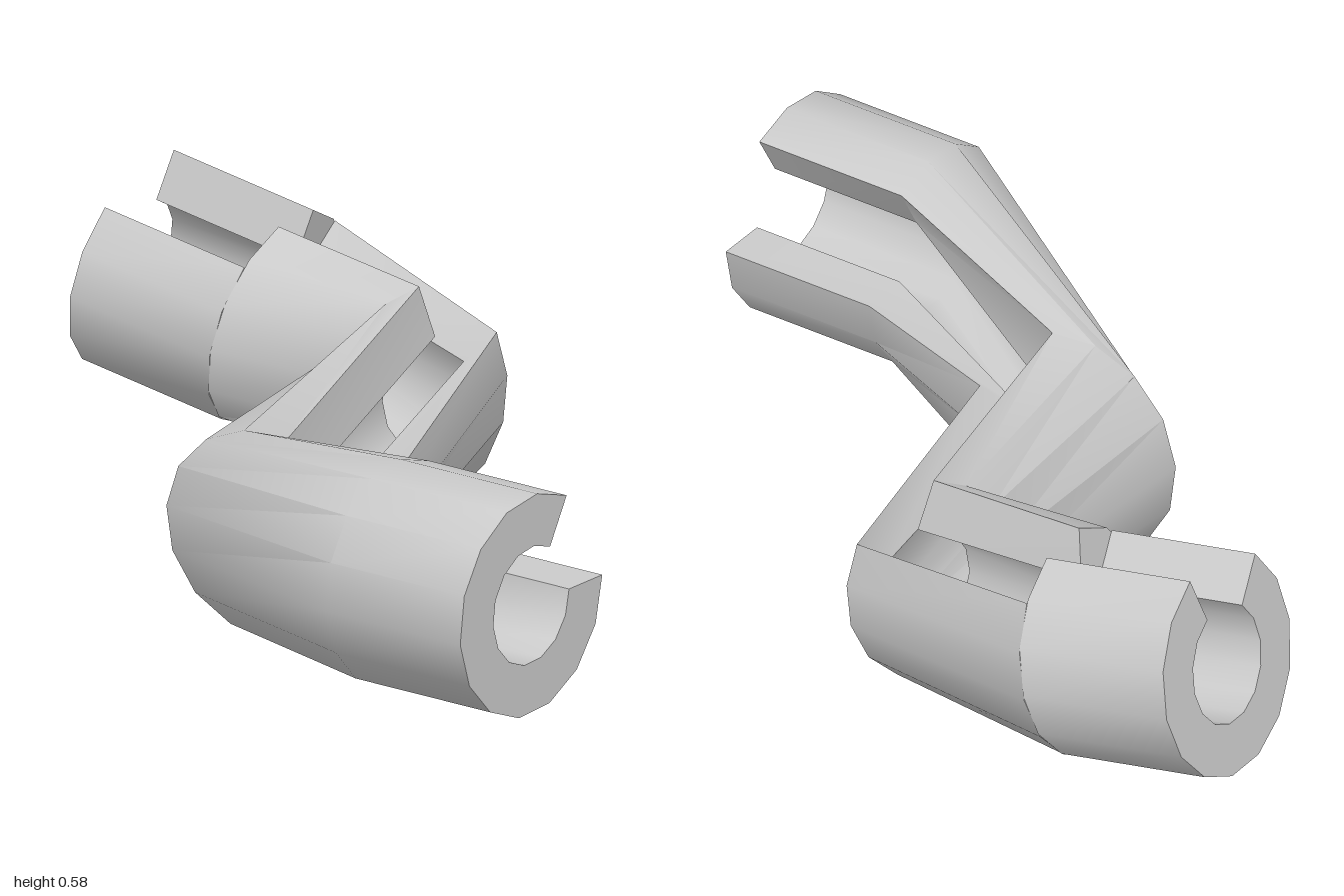
import * as THREE from 'three';
import { toCreasedNormals } from 'three/addons/utils/BufferGeometryUtils.js';

const STEPS = 12;
const OUTER = 0.21;
const INNER = 0.112;

// One C-shaped loop: slot runs from angle lo to hi (degrees), measured from u towards v
function section({ c, u, v = [0, 1, 0], lo, hi, innerHi = hi, wide = 1 }) {
  const centre = new THREE.Vector3(...c);
  const U = new THREE.Vector3(...u).normalize();
  const V = new THREE.Vector3(...v).normalize();
  const arc = (r, start) => Array.from({ length: STEPS + 1 }, (_, j) => {
    const a = THREE.MathUtils.degToRad(start + (lo + 360 - start) * j / STEPS);
    return centre.clone()
      .addScaledVector(U, r * wide * Math.cos(a))
      .addScaledVector(V, r * Math.sin(a));
  });
  return [...arc(OUTER, hi), ...arc(INNER, innerHi).reverse()];
}

// Skin the loops from front to back and close both ends
function slottedTube(name, rings) {
  const loops = rings.map(section);
  const n = 2 * STEPS + 2;
  const last = (loops.length - 1) * n;
  const index = [];
  for (let i = 0; i < loops.length - 1; i++) {
    for (let j = 0; j < n; j++) {
      const k = (j + 1) % n;
      const a = i * n + j, b = i * n + k, c = a + n, d = b + n;
      index.push(c, d, a, d, b, a);
    }
  }
  for (let j = 0; j < STEPS; j++) {
    const o = j, p = j + 1, q = n - 2 - j, r = n - 1 - j;
    index.push(o, p, q, o, q, r);
    index.push(last + o, last + q, last + p, last + o, last + r, last + q);
  }
  const geo = new THREE.BufferGeometry().setFromPoints(loops.flat());
  geo.setIndex(index);
  const mesh = new THREE.Mesh(
    toCreasedNormals(geo, 0.75),
    new THREE.MeshStandardMaterial({ color: 0xcccccc })
  );
  mesh.name = name;
  return mesh;
}

export function createModel() {
  const model = new THREE.Group();
  model.name = 'bentSlottedTube';

  const tilt = [0.18, 0.97, 0.11];
  const rearU = [0.52, 0, -0.85];
  const elbow = { c: [-0.14, 0.33, -0.66], u: rearU, v: tilt };

  // Zigzag channel whose slot turns slowly upwards
  model.add(slottedTube('zigzagChannel', [
    { c: [0.39, 0.308, 0.82], u: [0.577, 0, -0.817], lo: 0, hi: 60 },
    { c: [0.135, 0.308, 0.645], u: [0.55, 0, -0.835], lo: 0, hi: 60 },
    { c: [-0.125, 0.207, 0.175], u: [0.86, 0, 0.51], v: [0, 1, 0.15], lo: 14, hi: 76, innerHi: 52 },
    { c: [0.145, 0.283, -0.385], u: [0.93, 0, -0.35], lo: 30, hi: 95, innerHi: 78, wide: 0.74 },
    { ...elbow, lo: 47, hi: 105 },
  ]));

  // Rear tube, its slot stepped round from the channel's
  model.add(slottedTube('rearTube', [
    { ...elbow, lo: 74, hi: 135 },
    { c: [-0.4, 0.385, -0.82], u: rearU, v: tilt, lo: 74, hi: 135 },
  ]));

  return model;
}
